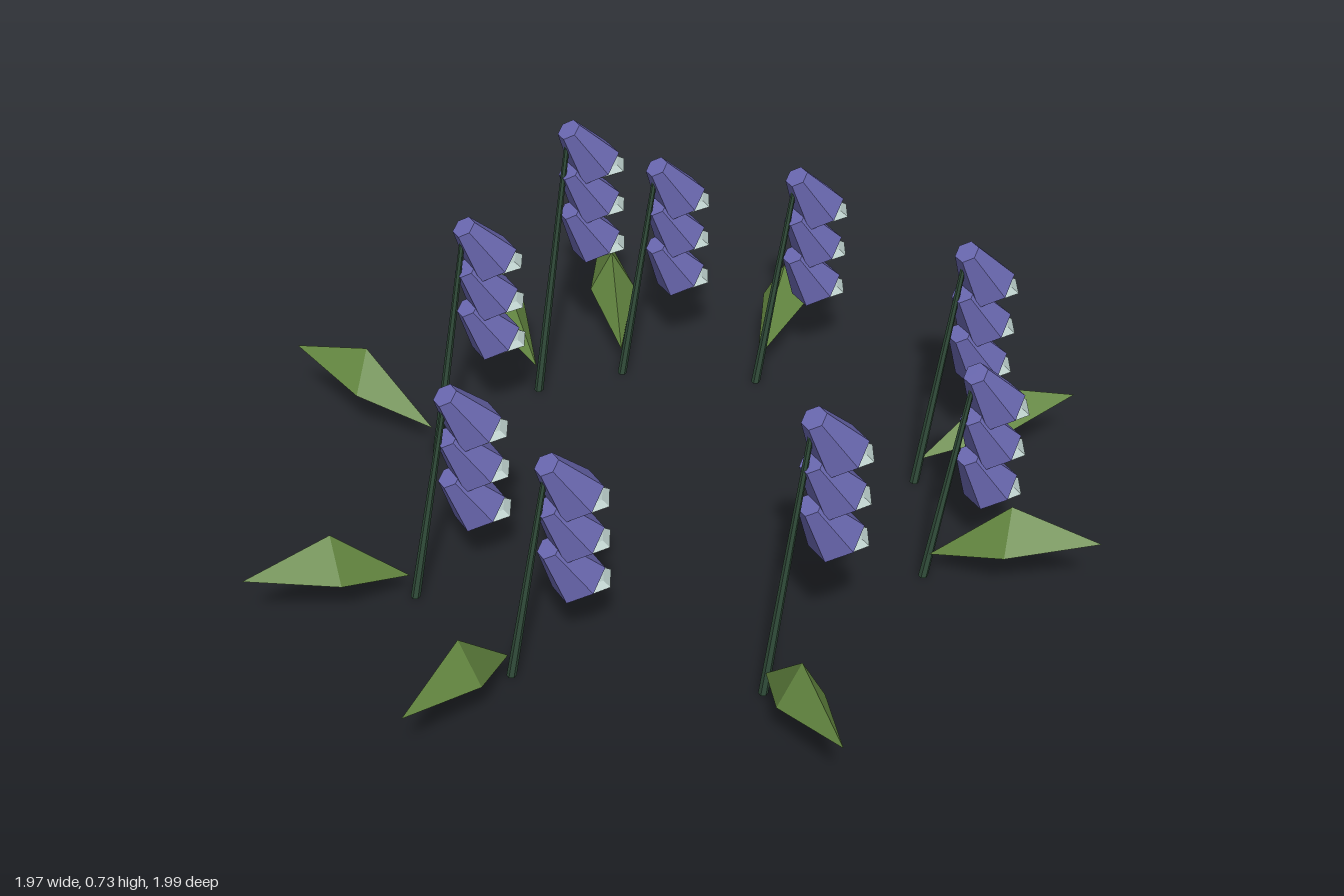
import * as THREE from 'three';
import { ConvexGeometry } from 'three/addons/geometries/ConvexGeometry.js';

const mat = (color) => new THREE.MeshStandardMaterial({ color, flatShading: true });

// Ring of plants: stem foot x, z and total height
const PLANTS = [
  [-0.315, -0.51, 0.62], [0.015, -0.61, 0.73], [0.23, -0.57, 0.585],
  [0.50, -0.37, 0.58], [-0.595, -0.05, 0.535], [-0.53, 0.29, 0.55],
  [-0.09, 0.61, 0.71], [0.43, 0.46, 0.54], [0.61, 0.165, 0.63],
];
const LEAN = 0.1;      // sideways lean of every stem
const TILT = 0.56;     // tilt of the bells towards +x
const BELL_H = 0.13;

export function createModel() {
  const model = new THREE.Group();
  model.name = 'flowerRing';
  const stemMat = mat(0x2f4a38), bellMat = mat(0x6a68b0);
  const heartMat = mat(0xb5c8c4), leafMat = mat(0x668a42);

  // Six-sided bell, its origin at the centre of the small upper end
  const bellGeo = new THREE.CylinderGeometry(0.029, 0.065, BELL_H, 6)
    .translate(0, -BELL_H / 2, 0).rotateZ(TILT);
  // Flattened pale heart that peeks out of the mouth
  const heartGeo = new THREE.SphereGeometry(0.06, 6, 4)
    .scale(1, 0.27, 1).translate(0.088, -0.122, 0);
  // Pointed leaf with a raised ridge, growing along +x
  const leafGeo = new ConvexGeometry([
    new THREE.Vector3(0.01, 0.065, 0),
    new THREE.Vector3(0.185, 0.24, 0),
    new THREE.Vector3(0.185, 0.135, 0.055),
    new THREE.Vector3(0.185, 0.135, -0.055),
    new THREE.Vector3(0.388, 0.182, 0),
  ]);

  for (const [x, z, h] of PLANTS) {
    const plant = new THREE.Group();
    plant.name = 'plant';
    plant.position.set(x, 0, z);
    const add = (name, geo, material) => {
      const m = new THREE.Mesh(geo, material);
      m.name = name;
      plant.add(m);
      return m;
    };

    // Slender stem, sheared so that its foot stays level
    const stemH = h - 0.02;
    const stemGeo = new THREE.CylinderGeometry(0.006, 0.011, stemH, 6).translate(0, stemH / 2, 0);
    const p = stemGeo.attributes.position;
    for (let i = 0; i < p.count; i++) p.setX(i, p.getX(i) + LEAN * p.getY(i) / stemH);
    stemGeo.computeVertexNormals();
    add('stem', stemGeo, stemMat);

    // Three nested bells hanging one below the other
    for (let i = 0; i < 3; i++) {
      const y = h - 0.015 - i * 0.11;
      add('bell', bellGeo, bellMat).position.set(LEAN, y, 0);
      add('bellHeart', heartGeo, heartMat).position.set(LEAN, y, 0);
    }

    // One leaf pointing out of the ring
    add('leaf', leafGeo, leafMat).rotation.y = Math.atan2(-z, x);
    model.add(plant);
  }
  return model;
}
